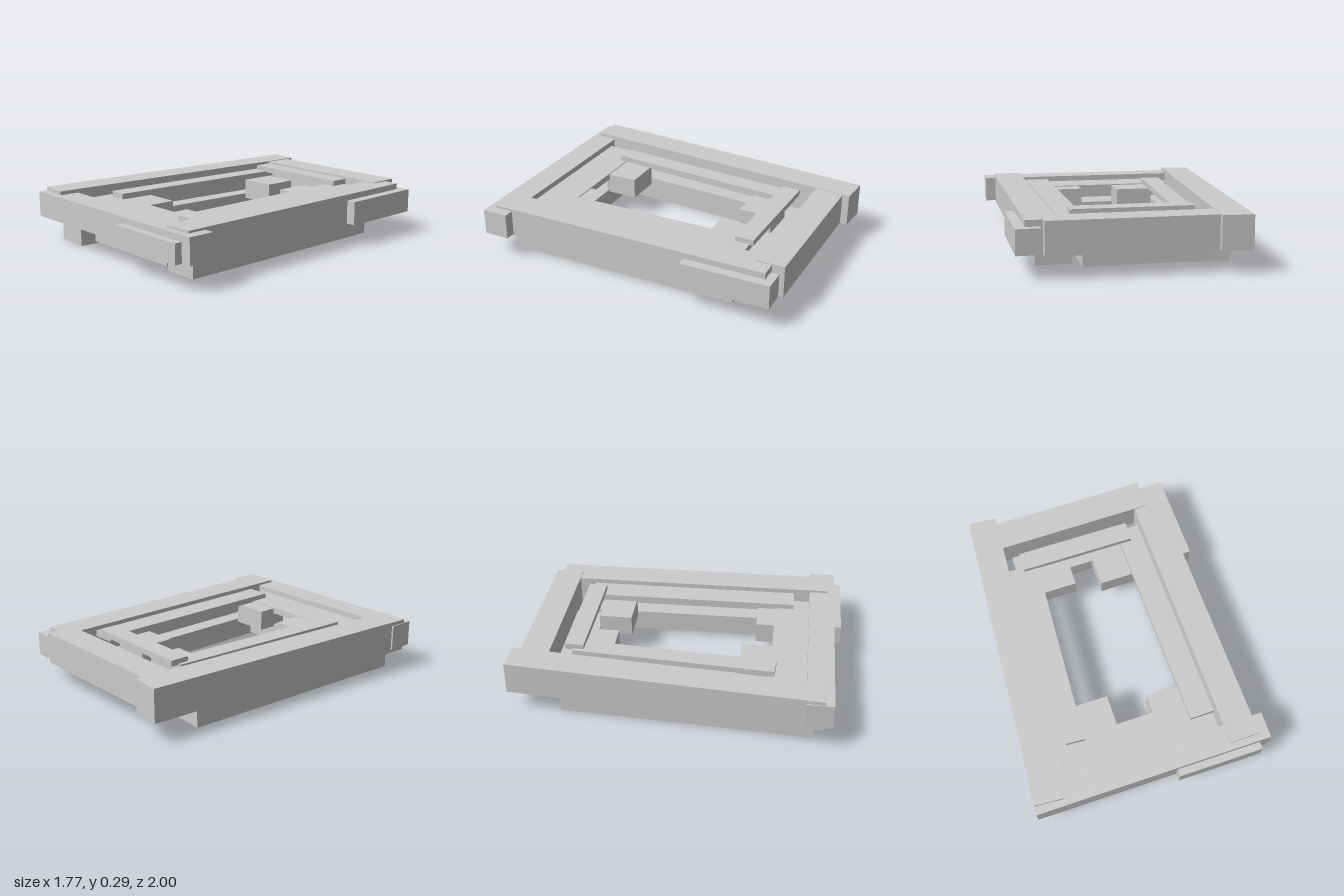
import * as THREE from 'three';

const material = new THREE.MeshStandardMaterial({ color: 0xcccccc, flatShading: true });

// Box lying flat: length along its heading (degrees about y), from height y0 to y1
function beam(group, name, x, z, length, width, y0, y1, heading) {
  const mesh = new THREE.Mesh(new THREE.BoxGeometry(length, y1 - y0, width), material);
  mesh.name = name;
  mesh.position.set(x, (y0 + y1) / 2, z);
  mesh.rotation.y = THREE.MathUtils.degToRad(heading);
  group.add(mesh);
}

export function createModel() {
  const model = new THREE.Group();
  model.name = 'beamFrame';
  const across = -23, rightSide = 68, leftSide = 62.8;

  // Upper outer frame; the two long sides are slightly out of parallel
  beam(model, 'upperLongBeamA', -0.42, -0.24, 1.63, 0.155, 0.112, 0.285, leftSide);
  beam(model, 'upperLongBeamB', 0.465, 0.197, 1.52, 0.157, 0.12, 0.277, rightSide);
  beam(model, 'upperBackBeam', 0.349, -0.666, 0.85, 0.152, 0.115, 0.282, across);
  beam(model, 'upperFrontBeam', -0.27, 0.675, 1.27, 0.138, 0.13, 0.265, across);

  // Lower supporting beams
  beam(model, 'lowerLongBeamA', -0.4, -0.11, 1.31, 0.19, 0, 0.13, 64);
  beam(model, 'lowerLongBeamB', 0.37, 0.215, 1.25, 0.183, 0.015, 0.13, rightSide);
  beam(model, 'lowerBackBeam', 0.225, -0.563, 0.61, 0.19, 0.03, 0.13, across);
  beam(model, 'lowerFrontBeam', -0.21, 0.53, 0.61, 0.19, 0.03, 0.132, across);

  // Thin inner strips round the opening
  beam(model, 'innerLongStripA', -0.25, -0.142, 1.06, 0.1, 0.235, 0.265, 63.5);
  beam(model, 'innerLongStripB', 0.32, 0.13, 1.15, 0.128, 0.23, 0.262, rightSide);
  beam(model, 'innerBackStrip', 0.239, -0.5, 0.62, 0.1, 0.26, 0.29, -23.5);
  beam(model, 'innerFrontStrip', -0.24, 0.517, 0.8, 0.2, 0.2, 0.235, across);

  // Blocks in the four corners of the opening
  const corners = [[0.053, -0.472], [0.343, -0.3], [-0.322, 0.294], [0.02, 0.51]];
  for (const [x, z] of corners) beam(model, 'cornerBlock', x, z, 0.2, 0.18, 0.12, 0.23, across);

  // Short plates on the outside of the frame
  beam(model, 'frontPlate', 0.03, 0.865, 0.455, 0.1, 0.13, 0.232, across);
  beam(model, 'sidePlate', 0.742, -0.307, 0.465, 0.12, 0.12, 0.245, rightSide);
  return model;
}
